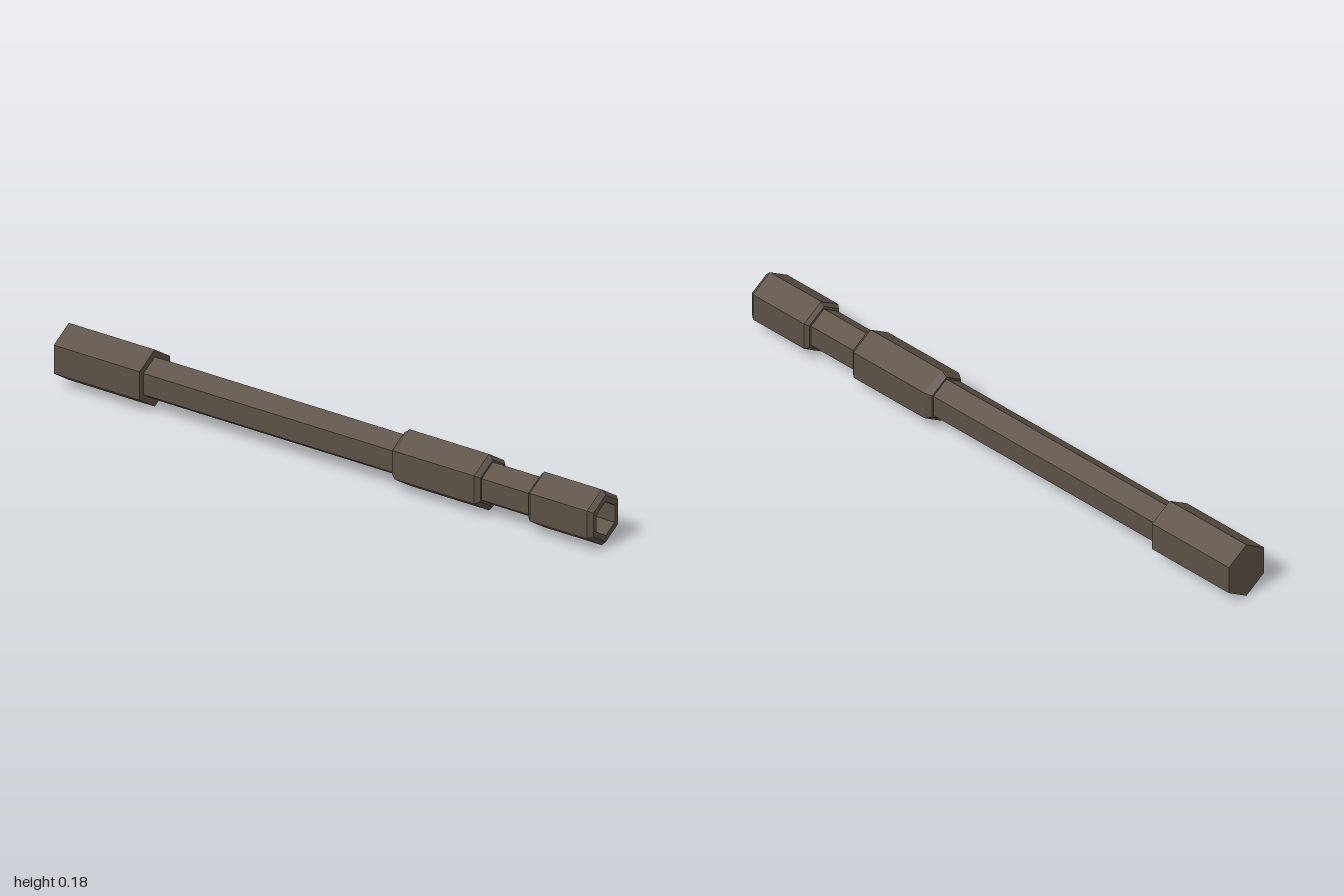
import * as THREE from 'three';

const AXIS_Y = 0.093;
const DEPTH_SCALE = 0.92; // hexagon is slightly narrower than regular
const SHAFT_R = 0.069;

export function createModel() {
  const group = new THREE.Group();
  group.name = 'hexRod';
  const darkBrown = new THREE.MeshStandardMaterial({ color: 0x5a4f45 });
  darkBrown.name = 'dark brown';

  // Six-sided faceted solid along x, from [x, radius] pairs
  function hexPart(name, profile) {
    const points = profile.map(([x, r]) => new THREE.Vector2(r, x));
    let geo = new THREE.LatheGeometry(points, 6, Math.PI / 2);
    geo.rotateZ(-Math.PI / 2);
    geo.scale(1, 1, DEPTH_SCALE);
    geo = geo.toNonIndexed();
    geo.computeVertexNormals();
    const mesh = new THREE.Mesh(geo, darkBrown);
    mesh.name = name;
    mesh.position.y = AXIS_Y;
    group.add(mesh);
  }

  // Solid end block with square shoulders
  hexPart('endBlock', [[-1, 0], [-1, 0.092], [-0.68, 0.092], [-0.68, SHAFT_R]]);

  // Thin shafts between the blocks
  hexPart('longShaft', [[-0.68, SHAFT_R], [0.25, SHAFT_R]]);
  hexPart('shortShaft', [[0.58, SHAFT_R], [0.76, SHAFT_R]]);

  // Middle grip with chamfered ends
  hexPart('middleGrip', [
    [0.25, SHAFT_R], [0.25, 0.076], [0.27, 0.091],
    [0.565, 0.091], [0.58, 0.076], [0.58, SHAFT_R],
  ]);

  // Socket tip: chamfered, with a hexagonal bore in the open end
  hexPart('socketTip', [
    [0.76, SHAFT_R], [0.76, 0.078], [0.772, 0.09],
    [0.985, 0.09], [1, 0.076], [1, 0.055], [0.85, 0.055], [0.85, 0],
  ]);

  return group;
}
